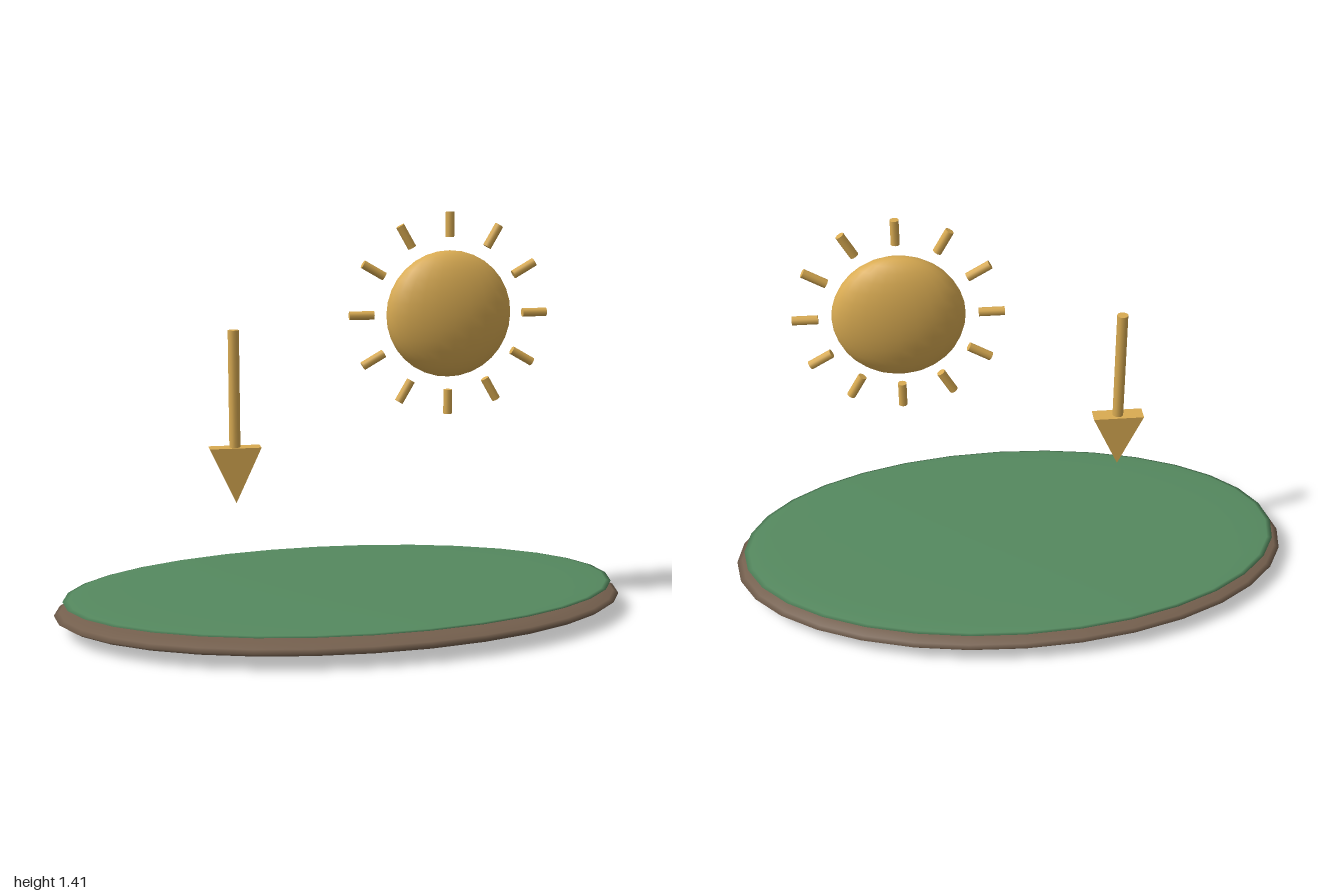
import * as THREE from 'three';

const material = (color) => new THREE.MeshStandardMaterial({ color });

function addMesh(parent, name, geometry, mat, x = 0, y = 0, z = 0) {
  const mesh = new THREE.Mesh(geometry, mat);
  mesh.name = name;
  mesh.position.set(x, y, z);
  parent.add(mesh);
  return mesh;
}

// Flattened sphere with its radii baked in
const ellipsoid = (rx, ry, rz, w, h) => new THREE.SphereGeometry(1, w, h).scale(rx, ry, rz);

export function createModel() {
  const model = new THREE.Group();
  model.name = 'sunnyGround';
  const gold = material(0xd9ab52);
  const brown = material(0x75604e);
  const green = material(0x55895f);

  // Ground: a soil disc with a thinner grass disc on top
  addMesh(model, 'soil', ellipsoid(1, 0.0575, 0.545, 32, 16), brown, 0, 0.0585);
  addMesh(model, 'grass', ellipsoid(0.97, 0.018, 0.528, 32, 16), green, 0, 0.105);

  // Sun: flattened ball ringed by twelve short rays
  const sun = new THREE.Group();
  sun.name = 'sun';
  sun.position.set(0.37, 1.06, 0);
  model.add(sun);
  addMesh(sun, 'sunBody', ellipsoid(0.22, 0.218, 0.09, 24, 16), gold);
  const rayGeometry = new THREE.CylinderGeometry(0.015, 0.015, 0.085, 10);
  for (let i = 0; i < 12; i++) {
    const a = (i / 12) * Math.PI * 2;
    const ray = addMesh(sun, 'sunRay', rayGeometry, gold, Math.cos(a) * 0.306, Math.sin(a) * 0.306);
    ray.rotation.z = a - Math.PI / 2;
  }

  // Arrow: round shaft and triangular head pointing down
  const arrow = new THREE.Group();
  arrow.name = 'arrow';
  arrow.position.x = -0.375;
  model.add(arrow);
  addMesh(arrow, 'arrowShaft', new THREE.CylinderGeometry(0.019, 0.019, 0.41, 12), gold, 0, 0.815);
  const triangle = new THREE.Shape([
    new THREE.Vector2(-0.088, 0.62),
    new THREE.Vector2(0, 0.43),
    new THREE.Vector2(0.088, 0.62),
  ]);
  const head = new THREE.ExtrudeGeometry(triangle, { depth: 0.056, bevelEnabled: false });
  addMesh(arrow, 'arrowHead', head, gold, 0, 0, -0.028);

  return model;
}
